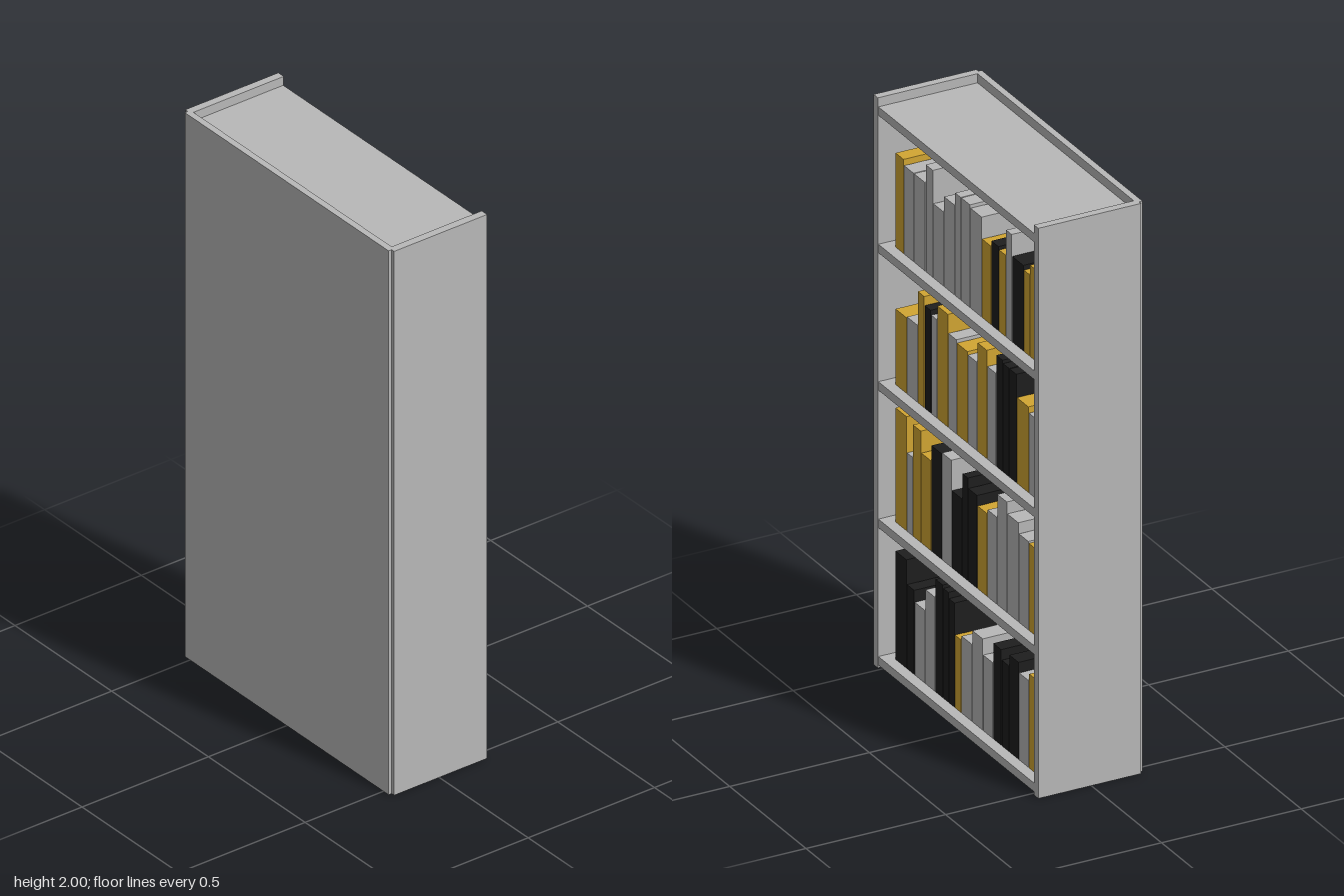
import * as THREE from 'three';

const mat = (name, color) => {
  const m = new THREE.MeshStandardMaterial({ color });
  m.name = name;
  return m;
};

export function createModel() {
  const grey = mat('grey', 0xb8b8b8);
  const gold = mat('gold', 0xd2a632);
  const black = mat('black', 0x1e1e1e);
  const root = new THREE.Group();
  root.name = 'bookcase';

  // Box given by its minimum and maximum corners
  const box = (parent, name, material, x0, x1, y0, y1, z0, z1) => {
    const mesh = new THREE.Mesh(new THREE.BoxGeometry(x1 - x0, y1 - y0, z1 - z0), material);
    mesh.position.set((x0 + x1) / 2, (y0 + y1) / 2, (z0 + z1) / 2);
    mesh.name = name;
    parent.add(mesh);
  };

  // Case: two sides and a full-height panel
  box(root, 'leftSide', grey, 0.512, 0.54, 0, 2, -0.19, 0.178);
  box(root, 'rightSide', grey, -0.54, -0.512, 0, 2, -0.19, 0.178);
  box(root, 'panel', grey, -0.527, 0.527, 0, 2, 0.167, 0.19);

  // Five boards; the top and bottom ones are slightly recessed
  const SHELF_GAP = 0.482, FIRST_TOP = 0.04, THICK = 0.03;
  for (let i = 0; i < 5; i++) {
    const top = FIRST_TOP + i * SHELF_GAP;
    box(root, i === 4 ? 'topBoard' : 'shelf', grey, -0.513, 0.513, top - THICK, top, -0.188, 0.168);
  }

  // Books per shelf, bottom to top: colour letter, width and height in hundredths
  const colours = { g: grey, y: gold, b: black };
  const rows = [
    'b7.5,38 b5,29.5 g7,25.5 g6.5,33 b5,39.5 b3.6,38.5 b4,36.5 y4.3,25.5 g7,27 g7,32 g6.5,26.5 b5.5,33.5 b5,30 b6.3,34 g6.5,30.5 y6.5,33',
    'y7.5,40 g3.8,27.5 y5.5,39 y6.5,31.5 b7,37 g6.3,37.5 b7,27 b3.8,36 b6,32.5 y6.5,29 g6.3,30.5 g6.5,38.7 g7.5,34.7 g6.5,31 y6.7,30.5',
    'y7.5,26.5 g7,27 y4.5,39 b4.2,36 g4,34.5 y7.2,39.5 g5.5,33 y7.2,32 g6.3,31 y6.3,38 g5.8,32.5 b4.4,39 b4.3,38 b4.7,38 y7.8,30 g6.7,28',
    'y5.6,33 g6.5,31 g7.6,31 g5,37.5 g7,26 g7.2,31.5 g4,36 g6,36 g7.6,35 y6,27.5 b5,29.5 y4.6,28.5 g4,37.5 b7.6,30 y4,28.5 y6,32',
  ];
  const GAP = 0.002;
  rows.forEach((row, r) => {
    const group = new THREE.Group();
    group.name = 'bookRow';
    root.add(group);
    const books = row.split(' ').map((s) => {
      const [w, h] = s.slice(1).split(',').map(Number);
      return { material: colours[s[0]], w, h: h / 100 };
    });
    // Fit every row to the same span
    const fit = 0.942 / books.reduce((sum, b) => sum + b.w, 0);
    const base = FIRST_TOP + r * SHELF_GAP;
    let x = 0.471;
    for (const b of books) {
      const end = x - b.w * fit;
      box(group, 'book', b.material, end + GAP, x - GAP, base, base + b.h, -0.15, 0.09);
      x = end;
    }
  });
  return root;
}
